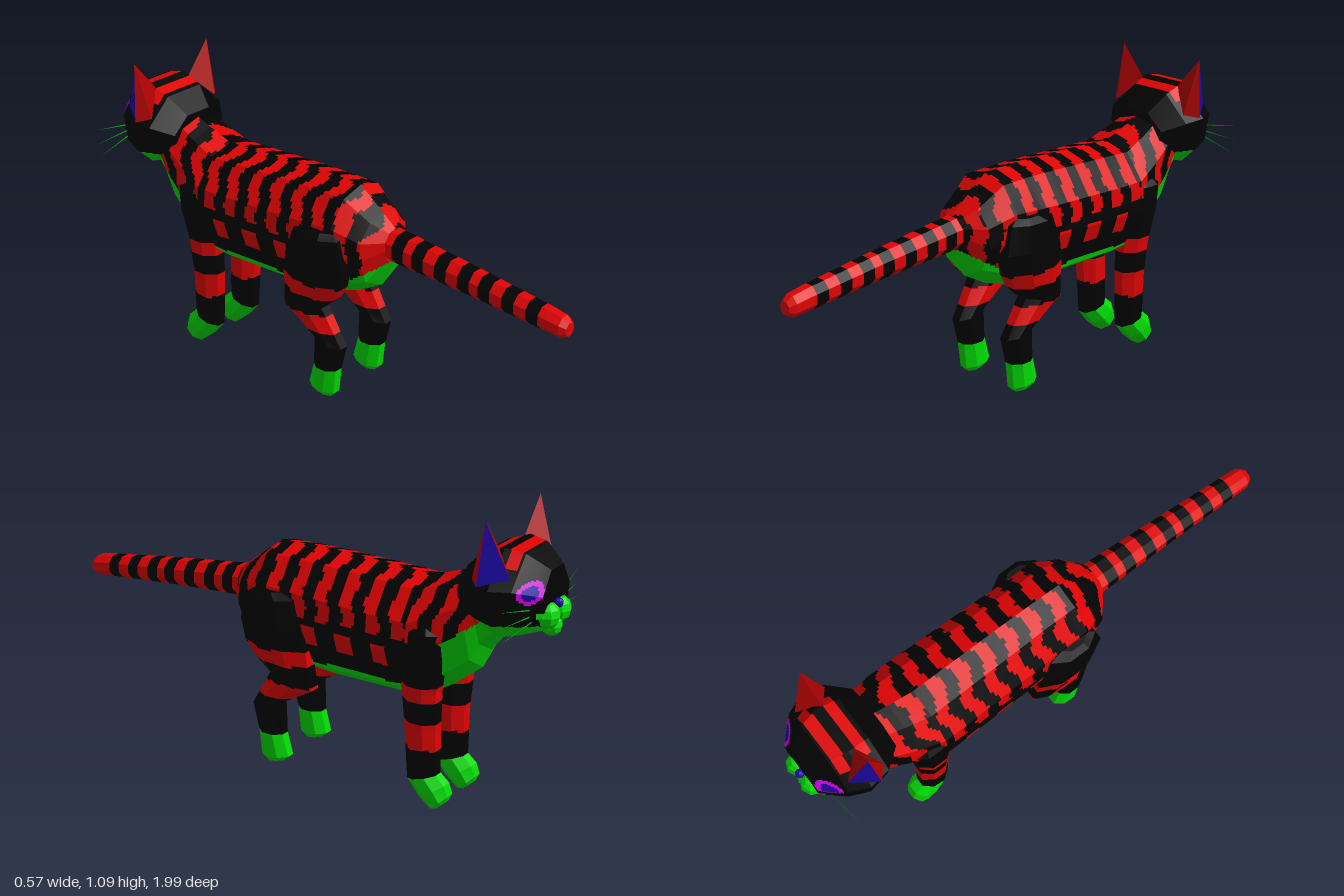
import * as THREE from 'three';

const paint = (name, hex, side = THREE.FrontSide) => {
  const m = new THREE.MeshStandardMaterial({ color: hex, flatShading: true, side });
  m.name = name;
  return m;
};

export function createModel() {
  const cat = new THREE.Group();
  cat.name = 'cat';
  const black = paint('blackFur', 0x020202);
  const red = paint('redFur', 0xe00303);
  const green = paint('greenFur', 0x02dc04);
  const blue = paint('blue', 0x1c08a4);
  const magenta = paint('magenta', 0xd806e4);
  const earRed = paint('earRed', 0xae0202);
  const whiskerGreen = paint('whiskerGreen', 0x04a806, THREE.DoubleSide);
  const palette = [black, red, green, blue, magenta];

  const add = (name, geo, mat) => {
    const mesh = new THREE.Mesh(geo, mat);
    mesh.name = name;
    cat.add(mesh);
    return mesh;
  };

  // Skin through rings of points; each facet is cut into small patches coloured by a rule
  const loft = (name, rings, colourAt, step) => {
    const buckets = palette.map(() => []);
    const tri = (bucket, a, b, c) => {
      const area = b.clone().sub(a).cross(c.clone().sub(a)).length();
      if (area > 1e-9) for (const p of [a, b, c]) bucket.push(p.x, p.y, p.z);
    };
    for (let i = 0; i < rings.length - 1; i++) {
      const n = rings[i].length;
      for (let j = 0; j < n; j++) {
        const k = (j + 1) % n;
        const [a, b, c, d] = [rings[i][j], rings[i][k], rings[i + 1][j], rings[i + 1][k]];
        const nu = Math.ceil(Math.max(a.distanceTo(b), c.distanceTo(d)) / step) || 1;
        const nv = Math.ceil(Math.max(a.distanceTo(c), b.distanceTo(d)) / step) || 1;
        const at = (u, v) => a.clone().lerp(b, u / nu).lerp(c.clone().lerp(d, u / nu), v / nv);
        for (let u = 0; u < nu; u++) for (let v = 0; v < nv; v++) {
          const [p, q, r, s] = [at(u, v), at(u + 1, v), at(u, v + 1), at(u + 1, v + 1)];
          const bucket = buckets[palette.indexOf(colourAt(at(u + 0.5, v + 0.5)))];
          tri(bucket, p, q, r);
          tri(bucket, q, s, r);
        }
      }
    }
    const geo = new THREE.BufferGeometry();
    let start = 0;
    buckets.forEach((b, i) => {
      if (b.length) geo.addGroup(start, b.length / 3, i);
      start += b.length / 3;
    });
    geo.setAttribute('position', new THREE.Float32BufferAttribute(buckets.flat(), 3));
    geo.computeVertexNormals();
    return add(name, geo, palette);
  };

  // Upright section at z, from half a profile of [width share, height share]
  const upright = (half, z, top, bottom, hw) => {
    const mirror = half.filter(p => p[0] > 0).reverse().map(([u, v]) => [-u, v]);
    return [...half, ...mirror].map(([u, v]) =>
      new THREE.Vector3(u * hw, bottom + v * (top - bottom), z));
  };
  const closed = rings => {
    const point = ring => {
      const c = ring.reduce((s, p) => s.add(p), new THREE.Vector3()).divideScalar(ring.length);
      return ring.map(() => c);
    };
    return [point(rings[0]), ...rings, point(rings[rings.length - 1])];
  };
  const frac = t => t - Math.floor(t);

  // Torso and neck
  const trunk = [[0, 0], [0.71, 0.16], [1, 0.48], [0.95, 0.72], [0.55, 0.94], [0, 1]];
  const torso = [
    [-0.8, 0.9, 0.68, 0.12], [-0.73, 0.895, 0.59, 0.13], [-0.7, 0.885, 0.52, 0.14],
    [-0.6, 0.845, 0.44, 0.165], [-0.5, 0.81, 0.375, 0.185], [-0.4, 0.815, 0.36, 0.182],
    [-0.1, 0.825, 0.36, 0.175], [0, 0.825, 0.37, 0.17], [0.12, 0.82, 0.41, 0.17],
    [0.22, 0.745, 0.465, 0.13], [0.275, 0.7, 0.57, 0.06],
  ].map(r => upright(trunk, ...r));
  const bellyLine = [[-0.9, 0.745], [-0.75, 0.73], [-0.6, 0.62], [-0.56, 0.54], [-0.5, 0.45],
    [-0.1, 0.45], [0.1, 0.485], [0.17, 0.51], [0.28, 0.585]];
  const bellyHeight = z => {
    const i = Math.max(1, bellyLine.findIndex(p => p[0] >= z));
    const [[z0, y0], [z1, y1]] = [bellyLine[i - 1], bellyLine[i]];
    return y0 + (y1 - y0) * (z - z0) / (z1 - z0);
  };
  loft('torso', closed(torso), p => {
    if (p.y < bellyHeight(p.z)) return green;
    if (p.y < 0.62 && p.z < 0.13) {
      const patch = p.y > 0.515 && p.y < 0.59 && p.z > -0.44 && p.z < -0.06;
      return patch && frac((p.z + 0.395) / 0.145 + 0.22) < 0.44 ? red : black;
    }
    const slant = p.z < -0.5 ? (p.y - 0.8) * 0.4 : 0;
    const wave = 0.012 * Math.sin(p.x * 38) + 0.008 * Math.sin(p.y * 60) + (p.x < 0 ? -0.015 : 0);
    return frac((p.z + 0.06 + slant + wave) / 0.1 + 0.25) < 0.5 ? red : black;
  }, 0.012);

  // Head, with eyes set into the face
  const skull = [[0, 0], [0.5, 0.04], [0.9, 0.27], [1, 0.63], [0.45, 1]];
  const head = [
    [-0.955, 0.925, 0.715, 0.095], [-0.88, 0.975, 0.69, 0.17], [-0.81, 0.985, 0.67, 0.2],
    [-0.73, 0.955, 0.7, 0.185], [-0.66, 0.89, 0.73, 0.125],
  ].map(r => upright(skull, ...r));
  loft('head', closed(head), p => {
    const eye = Math.hypot((p.y - 0.86) / 0.037, (p.z + 0.922) / 0.033);
    if (eye < 1 && Math.abs(p.x) > 0.05) return eye < 0.62 ? blue : magenta;
    if (p.y < 0.74 || (p.z < -0.94 && p.y < 0.79)) return green;
    const crown = (p.z > -0.87 && p.z < -0.83) || (p.z > -0.785 && p.z < -0.745);
    return crown && p.y > 0.93 ? red : black;
  }, 0.009);

  // Muzzle, chin and nose
  const ball = (name, r, mat, x, y, z) =>
    add(name, new THREE.SphereGeometry(r, 8, 6), mat).position.set(x, y, z);
  ball('chin', 0.037, green, 0, 0.725, -0.945);
  ball('nose', 0.017, blue, 0, 0.805, -0.965);

  // Tail
  const tail = [[0.22, 0.645, 0.062], [0.6, 0.61, 0.051], [0.92, 0.574, 0.043],
    [0.975, 0.566, 0.04], [0.997, 0.562, 0.025]].map(([z, y, r]) =>
    Array.from({ length: 8 }, (_, i) => {
      const a = (i + 0.5) / 8 * Math.PI * 2;
      return new THREE.Vector3(r * Math.cos(a), y + r * Math.sin(a), z);
    }));
  loft('tail', closed(tail), p =>
    p.z > 0.9 || frac((p.z - 0.46) / 0.091 + 0.24) < 0.48 ? red : black, 0.012);

  // Legs: level rings [x, y, z, half width, half depth, tilt]
  const hindLeg = [
    [0.14, 0.69, 0.065, 0.045, 0.06, 0], [0.145, 0.67, 0.055, 0.062, 0.1, 0],
    [0.148, 0.57, 0.05, 0.066, 0.13, 0], [0.143, 0.49, 0.035, 0.064, 0.13, 0],
    [0.135, 0.42, 0.015, 0.058, 0.115, -0.1], [0.13, 0.36, -0.02, 0.05, 0.09, -0.2],
    [0.125, 0.25, 0.09, 0.043, 0.062, 0.2], [0.125, 0.14, 0.075, 0.041, 0.052, 0],
    [0.124, 0.05, 0.058, 0.04, 0.058, 0.12], [0.124, 0.03, 0.062, 0.026, 0.036, 0.15],
  ];
  const frontLeg = [
    [0.13, 0.69, -0.55, 0.03, 0.04, 0], [0.13, 0.66, -0.55, 0.055, 0.075, 0],
    [0.125, 0.56, -0.54, 0.06, 0.078, 0], [0.11, 0.44, -0.53, 0.056, 0.068, 0],
    [0.1, 0.3, -0.53, 0.05, 0.062, 0], [0.096, 0.115, -0.537, 0.044, 0.057, 0.3],
    [0.096, 0.072, -0.578, 0.049, 0.05, 0.6], [0.096, 0.034, -0.608, 0.044, 0.034, 0.9],
    [0.096, 0.022, -0.612, 0.026, 0.02, 0.9],
  ];
  const legRings = (leg, side) => closed(leg.map(([x, y, z, rx, rz, tilt]) =>
    Array.from({ length: 8 }, (_, i) => {
      const a = (i + 0.5) / 8 * Math.PI * 2;
      const dz = rz * 1.06 * Math.sin(a);
      return new THREE.Vector3(side * x + rx * 1.06 * Math.cos(a), y - tilt * dz, z + dz);
    })));
  const banded = (y, bands) => bands.some(([a, b]) => y > a && y < b) ? red : black;
  const hindColour = p => p.y < 0.145 ? green : banded(p.y, [[0.29, 0.35], [0.43, 0.485]]);
  const frontColour = p => p.y + 0.3 * (p.z + 0.537) < 0.115 ? green
    : banded(p.y, [[0.225, 0.32], [0.41, 0.465]]);

  // Flat triangles sharing a tip, mirrored for the right side
  const fan = (name, mat, side, tip, ...rim) => {
    const points = [];
    for (let i = 0; i < rim.length - 1; i++) {
      const face = [tip, rim[i], rim[i + 1]];
      if (side < 0) face.reverse();
      for (const [x, y, z] of face) points.push(side * x, y, z);
    }
    const geo = new THREE.BufferGeometry();
    geo.setAttribute('position', new THREE.Float32BufferAttribute(points, 3));
    geo.computeVertexNormals();
    add(name, geo, mat);
  };

  for (const side of [1, -1]) {
    const s = side > 0 ? 'left' : 'right';
    loft(s + 'HindLeg', legRings(hindLeg, side), hindColour, 0.012);
    loft(s + 'FrontLeg', legRings(frontLeg, side), frontColour, 0.012);
    ball(s + 'Muzzle', 0.046, green, side * 0.04, 0.77, -0.945);

    // Ear: blue on the outer front face, red on the others
    const tip = [0.187, 1.095, -0.79];
    const inner = [0.085, 0.975, -0.79];
    const back = [0.165, 0.89, -0.735];
    const outer = [0.21, 0.88, -0.775];
    const front = [0.15, 0.905, -0.865];
    fan(s + 'EarBack', earRed, side, tip, front, inner, back, outer);
    fan(s + 'EarFront', blue, side, tip, outer, front);

    // Whiskers
    [0.84, 0.785, 0.73].forEach((y, i) => {
      const root = 0.78 + (1 - i) * 0.012;
      fan(s + 'Whisker' + (i + 1), whiskerGreen, side, [0.283, y, -0.9],
        [0.06, root - 0.004, -0.93], [0.06, root + 0.004, -0.93]);
    });
  }
  return cat;
}
